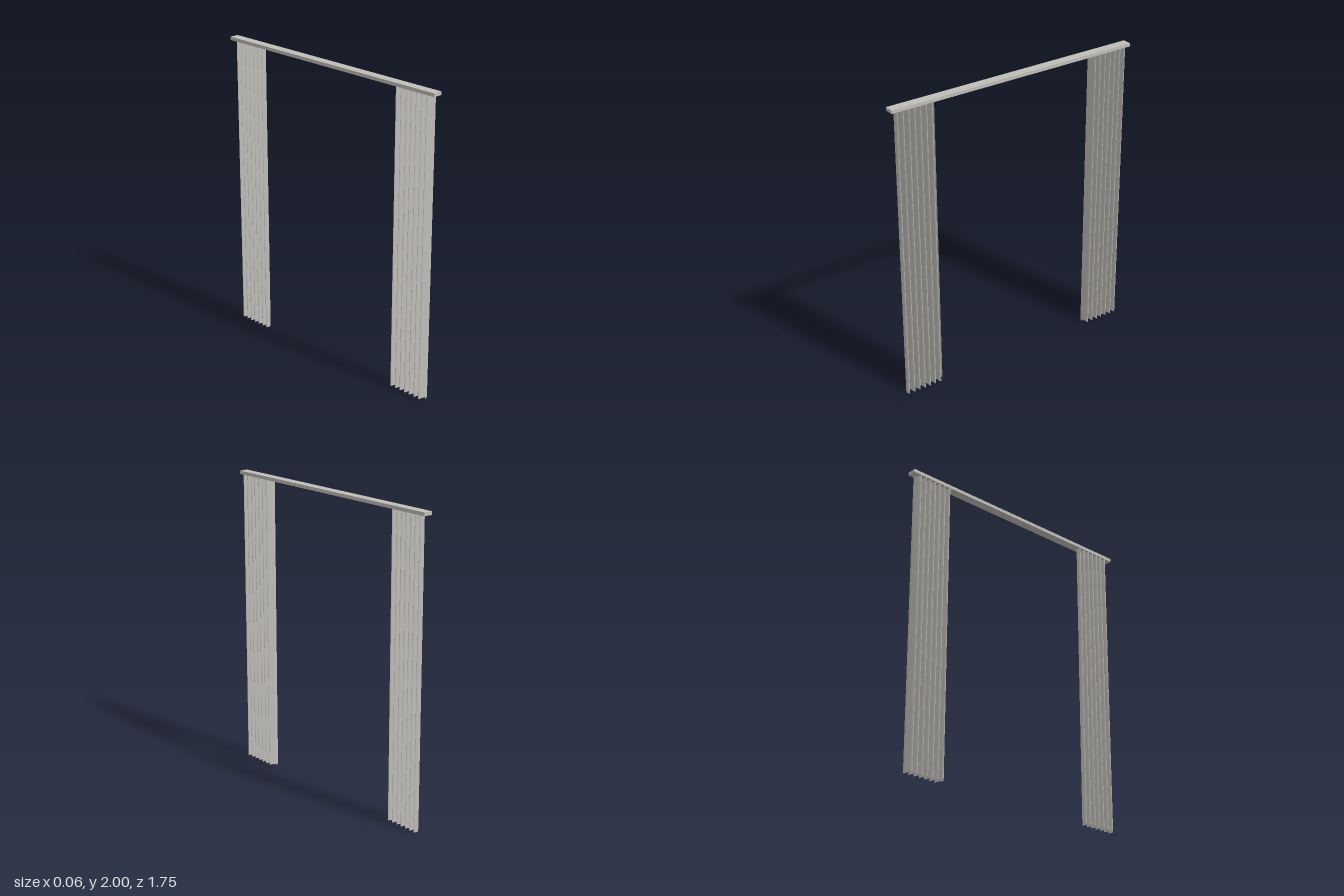
import * as THREE from 'three';

const RAIL_BOTTOM = 1.978;
const FOLDS = 7;
const FOLD_DEPTH = 0.03;

// Pleated sheet hanging from the rail between two z positions
function curtainGeometry(zOuter, zInner) {
  const width = Math.abs(zOuter - zInner);
  const geo = new THREE.PlaneGeometry(width, RAIL_BOTTOM, FOLDS * 16, 1);
  geo.rotateY(Math.PI / 2);
  geo.translate(0, RAIL_BOTTOM / 2, (zOuter + zInner) / 2);
  const pos = geo.attributes.position;
  for (let i = 0; i < pos.count; i++) {
    const t = Math.abs(pos.getZ(i) - zOuter) / width;
    pos.setX(i, FOLD_DEPTH * Math.sin(t * FOLDS * Math.PI * 2));
  }
  geo.computeVertexNormals();
  return geo;
}

export function createModel() {
  const model = new THREE.Group();
  model.name = 'curtains';

  const fabric = new THREE.MeshStandardMaterial({ color: 0xc0beb9, side: THREE.DoubleSide });
  fabric.name = 'warm grey';

  // Flat rail across the top
  const rail = new THREE.Mesh(new THREE.BoxGeometry(0.06, 2 - RAIL_BOTTOM, 1.75), fabric);
  rail.name = 'curtainRail';
  rail.position.y = (2 + RAIL_BOTTOM) / 2;
  model.add(rail);

  // Gathered curtains at each end
  for (const [name, outer, inner] of [
    ['frontCurtain', 0.845, 0.57],
    ['backCurtain', -0.845, -0.575],
  ]) {
    const curtain = new THREE.Mesh(curtainGeometry(outer, inner), fabric);
    curtain.name = name;
    model.add(curtain);
  }
  return model;
}
